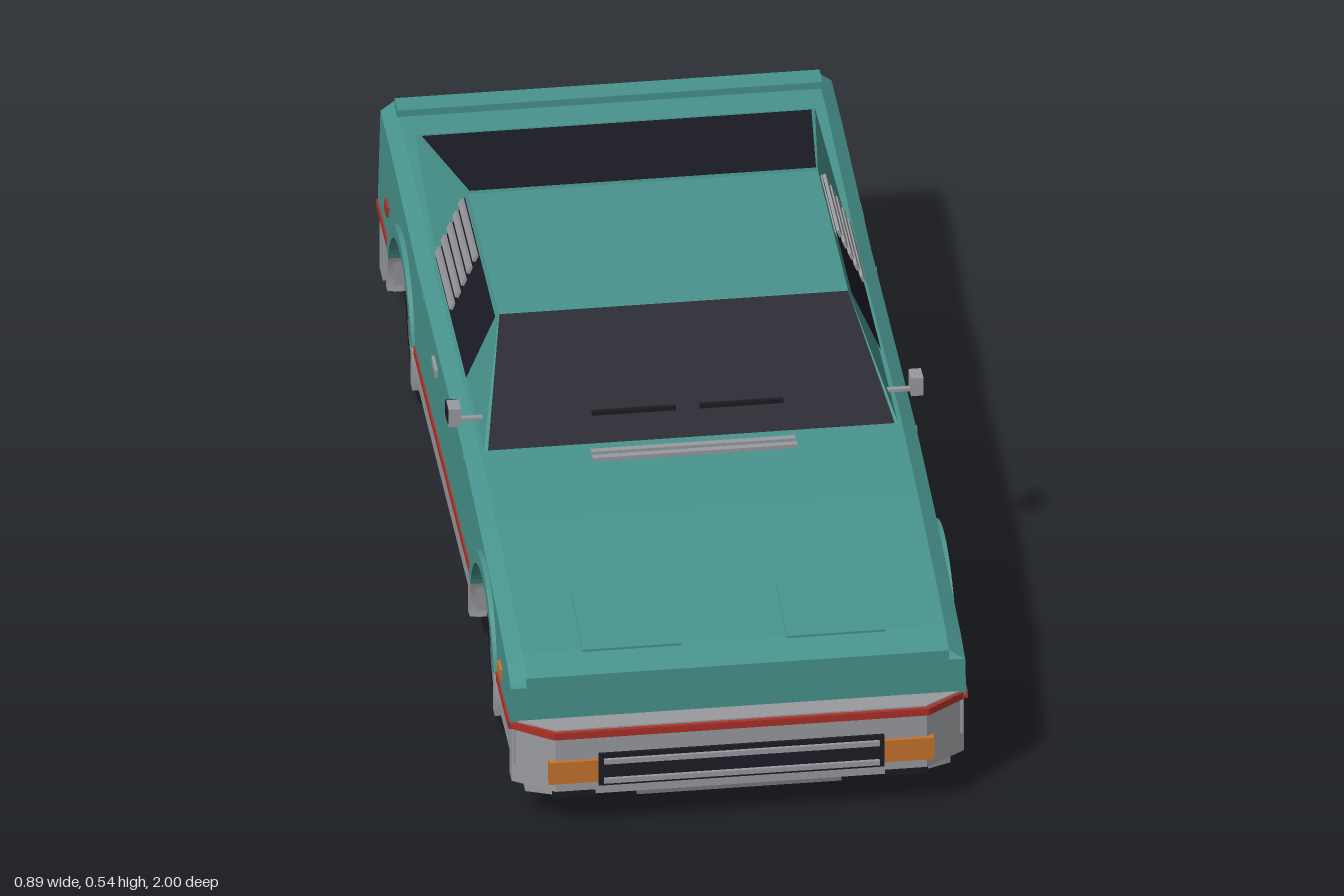
import * as THREE from 'three';

const mat = (name, color, side = THREE.FrontSide) => new THREE.MeshStandardMaterial({ name, color, side });

export function createModel() {
  const car = new THREE.Group();
  car.name = 'sportsCar';
  const teal = mat('tealPaint', 0x48938d);
  const silver = mat('silverTrim', 0x9a9b9f);
  const red = mat('redTrim', 0xab3128);
  const orange = mat('orangeLens', 0xc4752c);
  const glass = mat('darkGlass', 0x1c1c27, THREE.DoubleSide);
  const black = mat('blackRubber', 0x1c1c20);
  const floorGrey = mat('underbodyGrey', 0x48484b);
  const midGrey = mat('chassisGrey', 0x77787c);

  const add = (name, geo, material, parent = car) => {
    const m = new THREE.Mesh(geo, material);
    m.name = name;
    parent.add(m);
    return m;
  };
  // box given by its limits
  const box = (name, x0, x1, y0, y1, z0, z1, material) => {
    const g = new THREE.BoxGeometry(Math.abs(x1 - x0), y1 - y0, z1 - z0);
    return add(name, g.translate((x0 + x1) / 2, (y0 + y1) / 2, (z0 + z1) / 2), material);
  };
  const toShape = pts => new THREE.Shape(pts.map(p => new THREE.Vector2(p[0], p[1])));
  // side profile (z, y) spread across x; halfWidth(y) sets the taper
  const across = (shape, halfWidth) => {
    const g = new THREE.ExtrudeGeometry(shape, { depth: 2, bevelEnabled: false, curveSegments: 20 });
    g.rotateY(-Math.PI / 2).translate(1, 0, 0);
    const p = g.attributes.position;
    for (let i = 0; i < p.count; i++) p.setX(i, p.getX(i) * halfWidth(p.getY(i)));
    g.computeVertexNormals();
    return g;
  };
  // plan outline (x, z) raised from y0 to y1
  const plan = (pts, y0, y1) => {
    const g = new THREE.ExtrudeGeometry(toShape(pts.map(([x, z]) => [x, -z])), { depth: y1 - y0, bevelEnabled: false });
    return g.rotateX(-Math.PI / 2).translate(0, y0, 0);
  };
  const quad = (name, a, b, c, d, material) => {
    const g = new THREE.BufferGeometry();
    g.setAttribute('position', new THREE.Float32BufferAttribute([a, b, c, a, c, d].flat(), 3));
    g.computeVertexNormals();
    return add(name, g, material);
  };

  // Main body: a narrow full-height core, wider flanks and a chamfer between
  const axles = [-0.59, 0.58], hubY = 0.155, archR = 0.168;
  const sideHalf = y => 0.424 - (y - 0.21) * 0.025;
  const archHalf = y => Math.sqrt(archR ** 2 - (y - hubY) ** 2);
  const topLine = [[0.94, 0.31], [0.88, 0.328], [0.73, 0.352], [0.5, 0.38], [0.3, 0.398], [0.24, 0.402], [-0.38, 0.402], [-0.8, 0.43], [-0.94, 0.43]];
  const coreHalf = 0.392, drop = 0.02;
  const bodyShape = lower => {
    const sh = new THREE.Shape(), a = Math.asin((0.21 - hubY) / archR);
    sh.moveTo(-0.94, 0.21);
    for (const z of axles) {
      sh.lineTo(z - archHalf(0.21), 0.21);
      sh.absarc(z, hubY, archR, Math.PI - a, a, true);
    }
    sh.lineTo(0.94, 0.21);
    topLine.forEach(p => sh.lineTo(p[0], p[1] - lower));
    return sh;
  };
  add('bodyCore', across(bodyShape(0), () => coreHalf), teal);
  add('bodyFlanks', across(bodyShape(drop), sideHalf), teal);
  for (const s of [-1, 1]) for (let i = 1; i < topLine.length; i++) {
    const inner = ([z, y]) => [s * coreHalf, y, z];
    const outer = ([z, y]) => [s * sideHalf(y - drop), y - drop, z];
    const [p, q] = s > 0 ? [topLine[i - 1], topLine[i]] : [topLine[i], topLine[i - 1]];
    quad('shoulderChamfer', inner(p), outer(p), outer(q), inner(q), teal);
  }

  // Lower sills and the red stripe, in three stretches between the wheels
  const band = (name, y0, y1, half, material) => {
    const edge = (i, s) => y => axles[i] + s * archHalf(y);
    for (const [back, front] of [[() => -0.94, edge(0, -1)], [edge(0, 1), edge(1, -1)], [edge(1, 1), () => 0.94]])
      add(name, across(toShape([[back(y0), y0], [front(y0), y0], [front(y1), y1], [back(y1), y1]]), () => half), material);
  };
  band('sill', 0.13, 0.212, 0.418, silver);
  band('sideStripe', 0.205, 0.22, 0.427, red);

  // Underbody
  box('innerFloor', -0.285, 0.285, 0.09, 0.33, -0.8, 0.8, floorGrey);
  box('floorPan', -0.37, 0.37, 0.078, 0.13, -0.4, 0.39, floorGrey);
  box('frontFloor', -0.38, 0.38, 0.085, 0.14, 0.765, 0.81, black);
  box('noseFloor', -0.38, 0.38, 0.118, 0.14, 0.81, 0.93, black);
  box('rearFloor', -0.38, 0.38, 0.085, 0.14, -0.9, -0.77, floorGrey);
  for (const s of [-1, 1]) {
    box('sideSkirt', s * 0.37, s * 0.4, 0.08, 0.135, -0.4, 0.39, black);
    box('outerRail', s * 0.345, s * 0.365, 0.072, 0.09, -0.4, 0.39, midGrey);
    box('frontRail', s * 0.16, s * 0.19, 0.057, 0.09, 0.3, 0.56, midGrey);
    box('rearRail', s * 0.16, s * 0.19, 0.06, 0.09, -0.5, -0.18, midGrey);
  }
  for (const z of [-0.72, -0.38, 0.2, 0.72]) box('crossMember', -0.28, 0.28, 0.072, 0.092, z - 0.012, z + 0.012, midGrey);

  // Cabin
  const cabinHalf = y => 0.387 - (y - 0.395) * 0.43;
  add('cabin', across(toShape([[-0.82, 0.395], [0.28, 0.395], [0.02, 0.54], [-0.41, 0.54], [-0.82, 0.428]]), cabinHalf), teal);
  quad('windscreen', [-0.378, 0.403, 0.276], [0.378, 0.403, 0.276], [0.324, 0.542, 0.025], [-0.324, 0.542, 0.025], glass);
  quad('rearWindow', [0.362, 0.441, -0.79], [-0.362, 0.441, -0.79], [-0.322, 0.544, -0.415], [0.322, 0.544, -0.415], glass);
  for (const s of [-1, 1]) {
    const at = (y, z) => [s * (cabinHalf(y) + 0.004), y, z];
    quad('sideWindow', at(0.408, 0.022), at(0.408, -0.41), at(0.534, -0.41), at(0.534, 0.02), glass);
    for (let i = 0; i < 5; i++) {
      const louvre = box('windowLouvre', -0.009, 0.009, -0.007, 0.007, -0.41, -0.205, silver);
      const y = 0.423 + i * 0.025;
      louvre.position.set(s * (cabinHalf(y) + 0.001), y, 0);
      louvre.rotation.z = s * 0.4;
    }
    box('wiper', s * 0.022, s * 0.178, 0.432, 0.44, 0.218, 0.226, black);
    // Mirrors
    box('mirrorArm', s * 0.375, s * 0.42, 0.414, 0.42, 0.175, 0.185, silver);
    box('mirrorShell', s * 0.418, s * 0.441, 0.412, 0.45, 0.165, 0.2, silver);
    box('mirrorCap', s * 0.44, s * 0.443, 0.42, 0.448, 0.16, 0.198, black);
    box('mirrorGlass', s * 0.42, s * 0.441, 0.415, 0.447, 0.158, 0.166, black);
  }
  for (const z of [0.3, 0.322]) box('cowlVent', -0.19, 0.19, 0.394, 0.403, z - 0.006, z + 0.006, silver);

  // Side details
  for (const z of [0.255, -0.315])
    add('doorSeam', across(toShape([[z - 0.005, 0.222], [z + 0.005, 0.222], [z + 0.005, 0.38], [z - 0.005, 0.38]]), y => sideHalf(y) + 0.002), teal);
  const sidePlate = (name, y0, y1, z0, z1, material) => {
    for (const s of [-1, 1]) box(name, s * 0.412, s * (sideHalf(y0) + 0.005), y0, y1, z0, z1, material);
  };
  sidePlate('doorHandle', 0.333, 0.349, -0.162, -0.108, silver);
  sidePlate('frontMarker', 0.243, 0.264, 0.79, 0.826, orange);
  sidePlate('rearMarker', 0.27, 0.29, -0.826, -0.79, red);

  // Arch flares: painted above the stripe, silver below
  const flare = (z, a0, a1, material) => {
    const sh = new THREE.Shape();
    sh.absarc(z, hubY, archR + 0.022, a0, a1, false);
    sh.absarc(z, hubY, archR - 0.003, a1, a0, true);
    for (const s of [-1, 1]) {
      const g = new THREE.ExtrudeGeometry(sh, { depth: 0.03, bevelEnabled: false, curveSegments: 16 });
      add('archFlare', g.rotateY(-Math.PI / 2).translate(s * 0.415 + 0.015, 0, 0), material);
    }
  };
  for (const z of axles) {
    flare(z, 0.33, Math.PI - 0.33, teal);
    flare(z, -0.13, 0.33, silver);
    flare(z, Math.PI - 0.33, Math.PI + 0.13, silver);
  }

  // Front bumper
  const nose = (o, back = 0.9) => [[-0.42 - o, back], [-0.42 - o, 0.935], [-0.345 - o / 2, 0.985 + o], [0.345 + o / 2, 0.985 + o], [0.42 + o, 0.935], [0.42 + o, back]];
  add('frontBumper', plan(nose(0), 0.09, 0.214), silver);
  add('bumperStripe', plan(nose(0.006), 0.204, 0.218), red);
  add('bumperShelf', plan(nose(-0.002), 0.214, 0.221), silver);
  add('bumperChin', plan(nose(-0.025, 0.89), 0.066, 0.09), silver);
  box('chinPlate', -0.19, 0.19, 0.055, 0.068, 0.89, 0.955, midGrey);
  box('grille', -0.265, 0.265, 0.1, 0.168, 0.97, 0.99, glass);
  for (const y of [0.112, 0.153]) box('grilleBar', -0.256, 0.256, y - 0.005, y + 0.005, 0.98, 0.996, silver);
  for (const s of [-1, 1]) {
    box('turnSignal', s * 0.266, s * 0.358, 0.11, 0.156, 0.965, 0.992, orange);
    box('chinVent', s * 0.27, s * 0.348, 0.07, 0.085, 0.94, 0.975, black);
    // Headlight cover follows the bonnet slope
    const cover = across(toShape([[0.885, 0.322], [0.885, 0.331], [0.73, 0.357], [0.725, 0.345]]), () => 0.092);
    add('headlightCover', cover.translate(s * 0.19, 0, 0), teal);
  }

  // Rear bumper, lights and exhausts
  add('rearBumper', plan([[-0.422, -0.93], [-0.385, -0.962], [0.385, -0.962], [0.422, -0.93], [0.422, -0.88], [-0.422, -0.88]], 0.08, 0.208), silver);
  box('rearValance', -0.21, 0.21, 0.082, 0.13, -0.967, -0.94, black);
  box('plateFrame', -0.085, 0.085, 0.1, 0.175, -0.97, -0.95, black);
  box('plate', -0.077, 0.077, 0.108, 0.167, -0.973, -0.96, silver);
  box('rearGrille', -0.155, 0.155, 0.255, 0.345, -0.952, -0.93, midGrey);
  for (let i = 0; i < 6; i++) box('rearSlat', -0.155, 0.155, 0.258 + i * 0.015, 0.265 + i * 0.015, -0.956, -0.945, silver);
  for (const s of [-1, 1]) {
    box('tailLight', s * 0.157, s * 0.37, 0.247, 0.35, -0.957, -0.93, red);
    const pipe = new THREE.CylinderGeometry(0.019, 0.019, 0.12, 14).rotateX(Math.PI / 2);
    add('exhaust', pipe.translate(s * 0.2, 0.11, -0.94), silver);
  }
  box('rearSpoiler', -0.395, 0.395, 0.425, 0.444, -0.925, -0.88, teal);

  // Wheels
  const tyreProfile = [[0.12, -0.05], [0.142, -0.05], [0.155, -0.03], [0.155, 0.03], [0.142, 0.05], [0.124, 0.05], [0.118, 0.03]];
  for (const z of axles) for (const s of [-1, 1]) {
    const wheel = new THREE.Group();
    wheel.name = z > 0 ? 'frontWheel' : 'rearWheel';
    const tyre = new THREE.LatheGeometry(tyreProfile.map(p => new THREE.Vector2(...p)), 28).toNonIndexed();
    tyre.computeVertexNormals();
    add('tyre', tyre, black, wheel);
    add('rim', new THREE.CylinderGeometry(0.124, 0.124, 0.088, 28), silver, wheel);
    add('hubCap', new THREE.CylinderGeometry(0.03, 0.034, 0.012, 16).translate(0, 0.048, 0), silver, wheel);
    add('hubBolt', new THREE.CylinderGeometry(0.009, 0.009, 0.006, 10).translate(0, 0.054, 0), black, wheel);
    for (let i = 0; i < 5; i++) {
      const hole = new THREE.CylinderGeometry(0.014, 0.014, 0.004, 10).translate(-s * 0.068, 0.045, 0);
      add('rimHole', hole.rotateY(i * Math.PI * 0.4), black, wheel);
    }
    wheel.rotation.z = -s * Math.PI / 2;
    wheel.position.set(s * 0.35, hubY, z);
    car.add(wheel);
  }
  return car;
}
